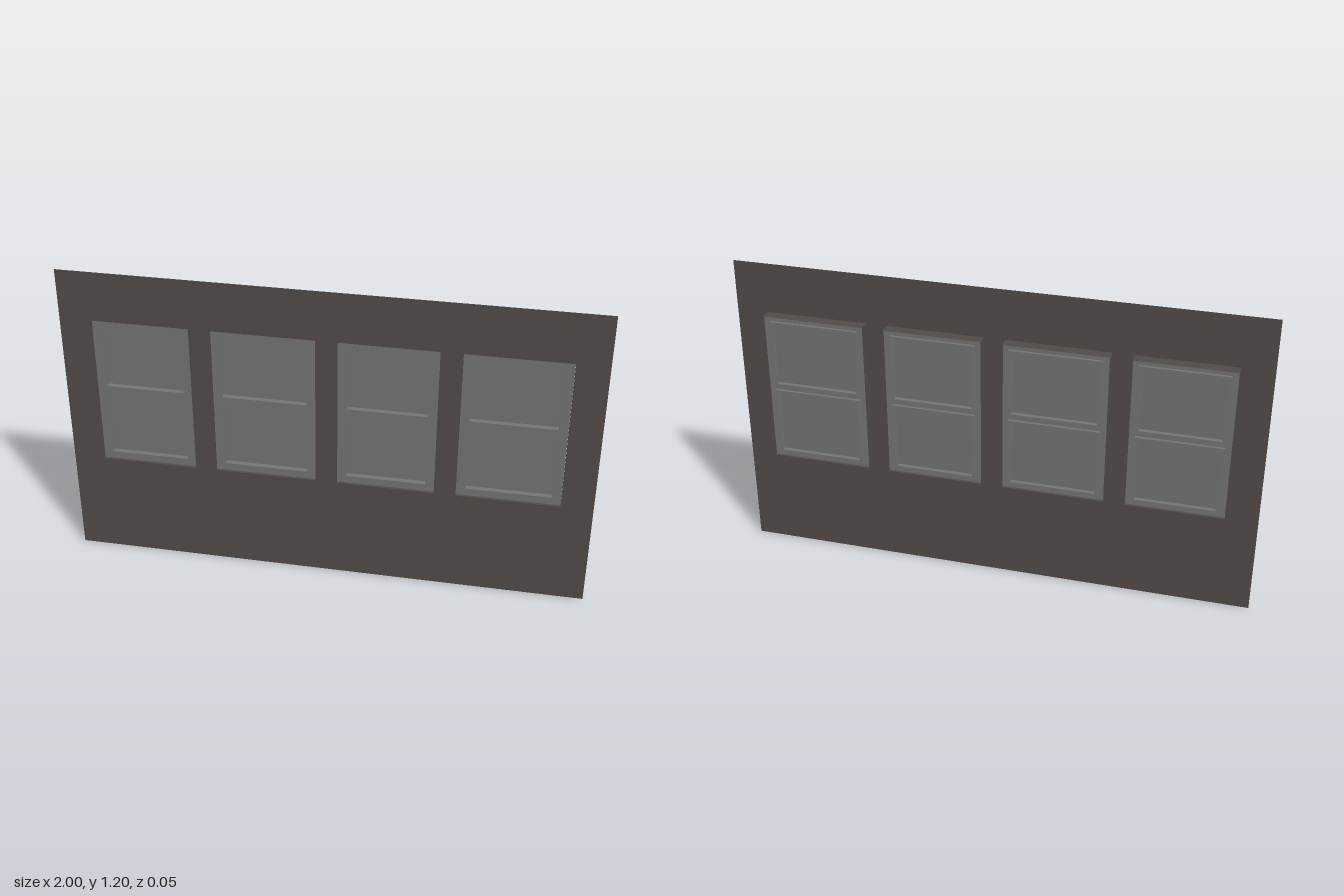
import * as THREE from 'three';

const wallMat = new THREE.MeshStandardMaterial({ color: 0x524c49, side: THREE.DoubleSide });
wallMat.name = 'dark wall';
const frameMat = new THREE.MeshStandardMaterial({ color: 0x757573 });
frameMat.name = 'grey frame';
const glassMat = new THREE.MeshStandardMaterial({ color: 0x747573, side: THREE.DoubleSide });
glassMat.name = 'grey glass';

// Rectangle path from [x0, y0, x1, y1]
function rect(PathType, [x0, y0, x1, y1]) {
  return new PathType([[x0, y0], [x1, y0], [x1, y1], [x0, y1]].map(([x, y]) => new THREE.Vector2(x, y)));
}

const grow = ([x0, y0, x1, y1], d) => [x0 - d, y0 - d, x1 + d, y1 + d];

// Flat panel with rectangular holes, extruded from z0 to z1
function panel(name, outer, holes, z0, z1, material) {
  const shape = rect(THREE.Shape, outer);
  holes.forEach((h) => shape.holes.push(rect(THREE.Path, h)));
  const geo = new THREE.ExtrudeGeometry(shape, { depth: z1 - z0, bevelEnabled: false });
  geo.translate(0, 0, z0);
  const mesh = new THREE.Mesh(geo, material);
  mesh.name = name;
  return mesh;
}

// Open-ended thin casing around a window
function casing([x0, y0, x1, y1], z0, z1) {
  const geo = new THREE.BoxGeometry(x1 - x0, y1 - y0, z1 - z0);
  geo.setIndex(Array.from(geo.index.array).slice(0, 24)); // keep only the four sides
  geo.clearGroups();
  geo.translate((x0 + x1) / 2, (y0 + y1) / 2, (z0 + z1) / 2);
  const mesh = new THREE.Mesh(geo, wallMat);
  mesh.name = 'casing';
  return mesh;
}

export function createModel() {
  const model = new THREE.Group();
  model.name = 'windowWall';
  const front = 0.024;
  const openings = [[-0.88, -0.51], [-0.43, -0.04], [0.04, 0.41], [0.49, 0.88]]
    .map(([a, b]) => [a, 0.41, b, 1.005]);

  // Sheet wall with four openings
  const wallShape = rect(THREE.Shape, [-1, 0, 1, 1.2]);
  openings.forEach((o) => wallShape.holes.push(rect(THREE.Path, o)));
  const wall = new THREE.Mesh(new THREE.ShapeGeometry(wallShape), wallMat);
  wall.position.z = front;
  wall.name = 'wall';
  model.add(wall);

  openings.forEach((o) => {
    const win = new THREE.Group();
    win.name = 'window';
    const panes = [[0.44, 0.69], [0.73, 0.975]].map(([a, b]) => [o[0] + 0.035, a, o[2] - 0.035, b]);
    win.add(casing(o, -0.02, front));
    win.add(panel('frame', grow(o, -0.001), panes, -0.012, 0.015, frameMat));
    panes.forEach((p) => {
      // Raised sash lip on the back, and the glass
      win.add(panel('sashLip', grow(p, 0.012), [p], -0.023, -0.011, frameMat));
      const glass = new THREE.Mesh(new THREE.PlaneGeometry(p[2] - p[0], p[3] - p[1]), glassMat);
      glass.position.set((p[0] + p[2]) / 2, (p[1] + p[3]) / 2, -0.006);
      glass.name = 'glass';
      win.add(glass);
    });
    model.add(win);
  });
  return model;
}
